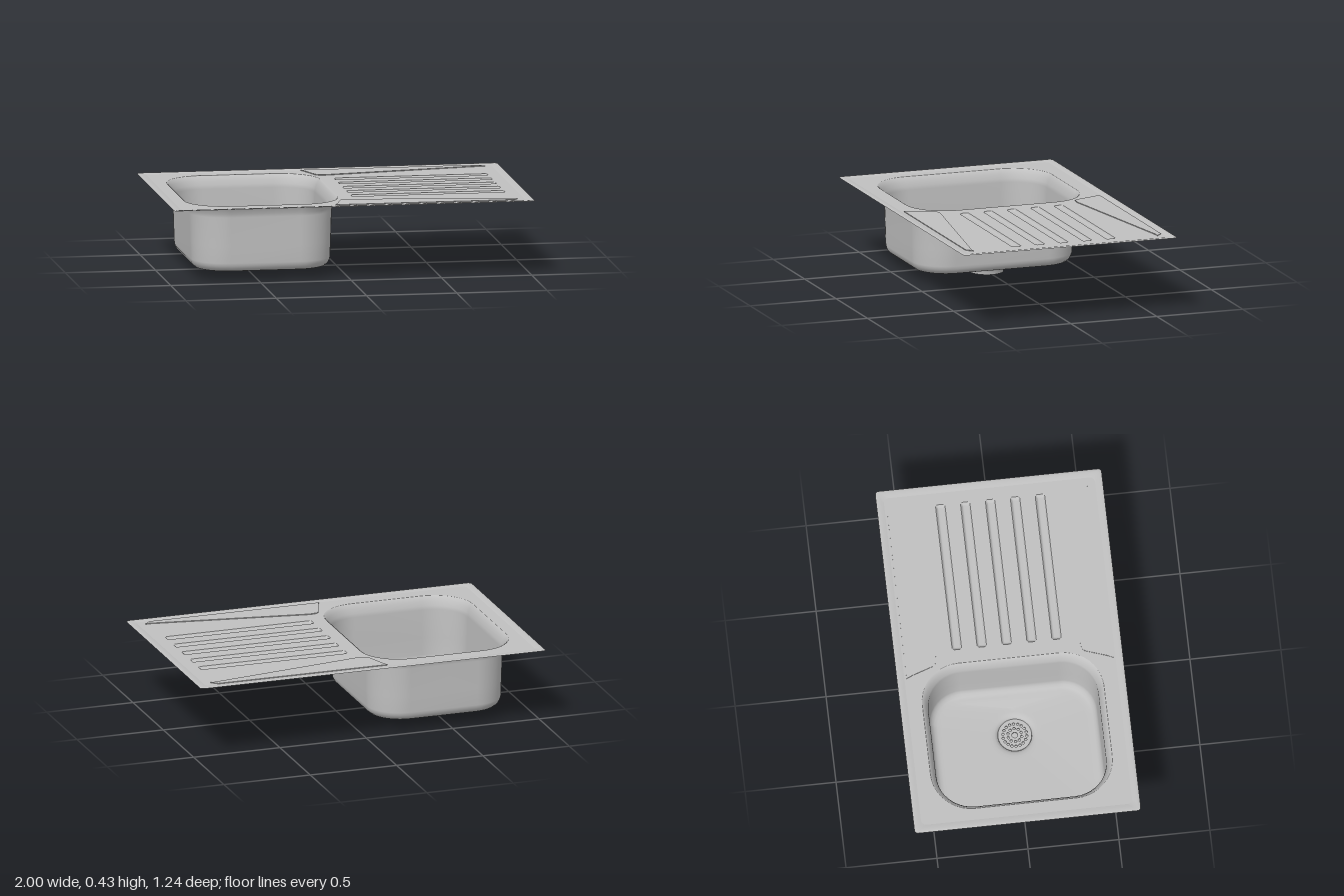
import * as THREE from 'three';
import { mergeVertices } from 'three/addons/utils/BufferGeometryUtils.js';

const DECK_Y = 0.43;

// Rounded rectangle in the xz plane, counter-clockwise seen from above
function ring(cx, cz, hx, hz, r, y, n = 10) {
  const pts = [];
  const corners = [[1, 1], [-1, 1], [-1, -1], [1, -1]];
  corners.forEach(([sx, sz], k) => {
    for (let i = 0; i <= n; i++) {
      const a = (k + i / n) * Math.PI / 2;
      pts.push(new THREE.Vector3(
        cx + sx * (hx - r) + r * Math.cos(a), y,
        cz - sz * (hz - r) - r * Math.sin(a)));
    }
  });
  return pts;
}

// Smooth skin through rings listed from the outside in
function loft(rings, capped = false) {
  const n = rings[0].length, pos = [], index = [];
  rings.forEach(r => r.forEach(p => pos.push(p.x, p.y, p.z)));
  for (let j = 0; j < rings.length - 1; j++) {
    for (let i = 0; i < n; i++) {
      const k = (i + 1) % n, a = j * n + i, b = j * n + k;
      index.push(a, b, a + n, b, b + n, a + n);
    }
  }
  if (capped) {
    const s = (rings.length - 1) * n;
    for (let i = 1; i < n - 1; i++) index.push(s, s + i, s + i + 1);
  }
  let g = new THREE.BufferGeometry();
  g.setAttribute('position', new THREE.Float32BufferAttribute(pos, 3));
  g.setIndex(index);
  g = mergeVertices(g, 1e-5);
  g.computeVertexNormals();
  return g;
}

const flat = pts => pts.map(p => new THREE.Vector2(p.x, -p.z));

export function createModel() {
  const model = new THREE.Group();
  const steel = new THREE.MeshStandardMaterial({ color: 0xc0c0c0, side: THREE.DoubleSide });
  steel.name = 'brushed steel';
  const add = (name, geometry) => {
    const mesh = new THREE.Mesh(geometry, steel);
    mesh.name = name;
    model.add(mesh);
    return mesh;
  };

  // Outer rim, stepping down to the deck
  const deckEdge = ring(0, 0, 0.955, 0.58, 0.03, DECK_Y);
  add('rim', loft([
    ring(0, 0, 1, 0.622, 0.02, 0.431),
    ring(0, 0, 0.997, 0.619, 0.02, 0.434),
    ring(0, 0, 0.985, 0.607, 0.02, 0.4345),
    ring(0, 0, 0.97, 0.594, 0.025, 0.433),
    deckEdge,
  ]));

  // Basin: [half x, half z, corner radius, y]
  const basinX = -0.465, drainX = -0.34;
  const profile = [
    [0.425, 0.5, 0.22, DECK_Y], [0.416, 0.491, 0.213, 0.424],
    [0.405, 0.48, 0.205, 0.405], [0.396, 0.471, 0.2, 0.38], [0.393, 0.467, 0.198, 0.36],
    [0.388, 0.463, 0.195, 0.2], [0.384, 0.46, 0.19, 0.105],
    [0.381, 0.456, 0.19, 0.088], [0.373, 0.448, 0.183, 0.072],
    [0.359, 0.434, 0.17, 0.06], [0.342, 0.417, 0.155, 0.055], [0.32, 0.395, 0.14, 0.0535],
  ];
  const basinRings = profile.map(([hx, hz, r, y]) => ring(basinX, 0, hx, hz, r, y));
  const circle = (r, y) => ring(drainX, 0, r, r, r, y);
  add('basin', loft([...basinRings, circle(0.15, 0.039), circle(0.13, 0.038),
    circle(0.112, 0.035), circle(0.1, 0.028), circle(0.094, 0.018), circle(0.092, 0)]));

  // Drain outlet floor
  const floor = add('drainFloor', new THREE.CircleGeometry(0.092, 40));
  floor.rotation.x = -Math.PI / 2;
  floor.position.set(drainX, 0, 0);

  // Perforated strainer
  const plate = new THREE.Shape().absarc(0, 0, 0.093, 0, Math.PI * 2);
  const punch = (x, y, r) => plate.holes.push(new THREE.Path().absarc(x, y, r, 0, Math.PI * 2, true));
  punch(0, 0, 0.016);
  for (const [count, radius] of [[10, 0.038], [18, 0.065]]) {
    for (let i = 0; i < count; i++) {
      const a = i / count * Math.PI * 2;
      punch(radius * Math.cos(a), radius * Math.sin(a), 0.007);
    }
  }
  const strainer = add('strainer', new THREE.ExtrudeGeometry(plate,
    { depth: 0.005, bevelEnabled: false, curveSegments: 16 }));
  strainer.rotation.x = -Math.PI / 2;
  strainer.position.set(drainX, 0.012, 0);

  // Five drainer grooves pressed into the deck
  const holes = [basinRings[0]];
  for (let i = -2; i <= 2; i++) {
    const z = i * 0.137 - 0.002, x = 0.463;
    const mouth = ring(x, z, 0.424, 0.026, 0.01, DECK_Y, 4);
    holes.push(mouth);
    add('drainerGroove', loft([mouth,
      ring(x, z, 0.42, 0.022, 0.009, 0.427, 4),
      ring(x, z, 0.416, 0.018, 0.008, 0.42, 4),
      ring(x, z, 0.408, 0.012, 0.006, 0.418, 4)], true));
  }

  // Deck with openings for the basin and grooves
  const deckShape = new THREE.Shape(flat(deckEdge));
  holes.forEach(h => deckShape.holes.push(new THREE.Path(flat(h))));
  const deck = new THREE.ShapeGeometry(deckShape);
  deck.rotateX(-Math.PI / 2);
  add('deck', deck).position.y = DECK_Y;

  // Tapered raised panels along both long edges of the drainer
  const outline = [[-0.1, 0.568], [-0.085, 0.535], [-0.045, 0.418], [-0.03, 0.402],
    [0.01, 0.396], [0.89, 0.536], [0.915, 0.534], [0.88, 0.568]];
  for (const side of [1, -1]) {
    const shape = new THREE.Shape(outline.map(([x, z]) => new THREE.Vector2(x, side * z)));
    const panel = new THREE.ExtrudeGeometry(shape, { depth: 0.004, bevelEnabled: false });
    panel.rotateX(-Math.PI / 2);
    add(side > 0 ? 'backPanel' : 'frontPanel', panel).position.y = DECK_Y;
  }
  return model;
}
